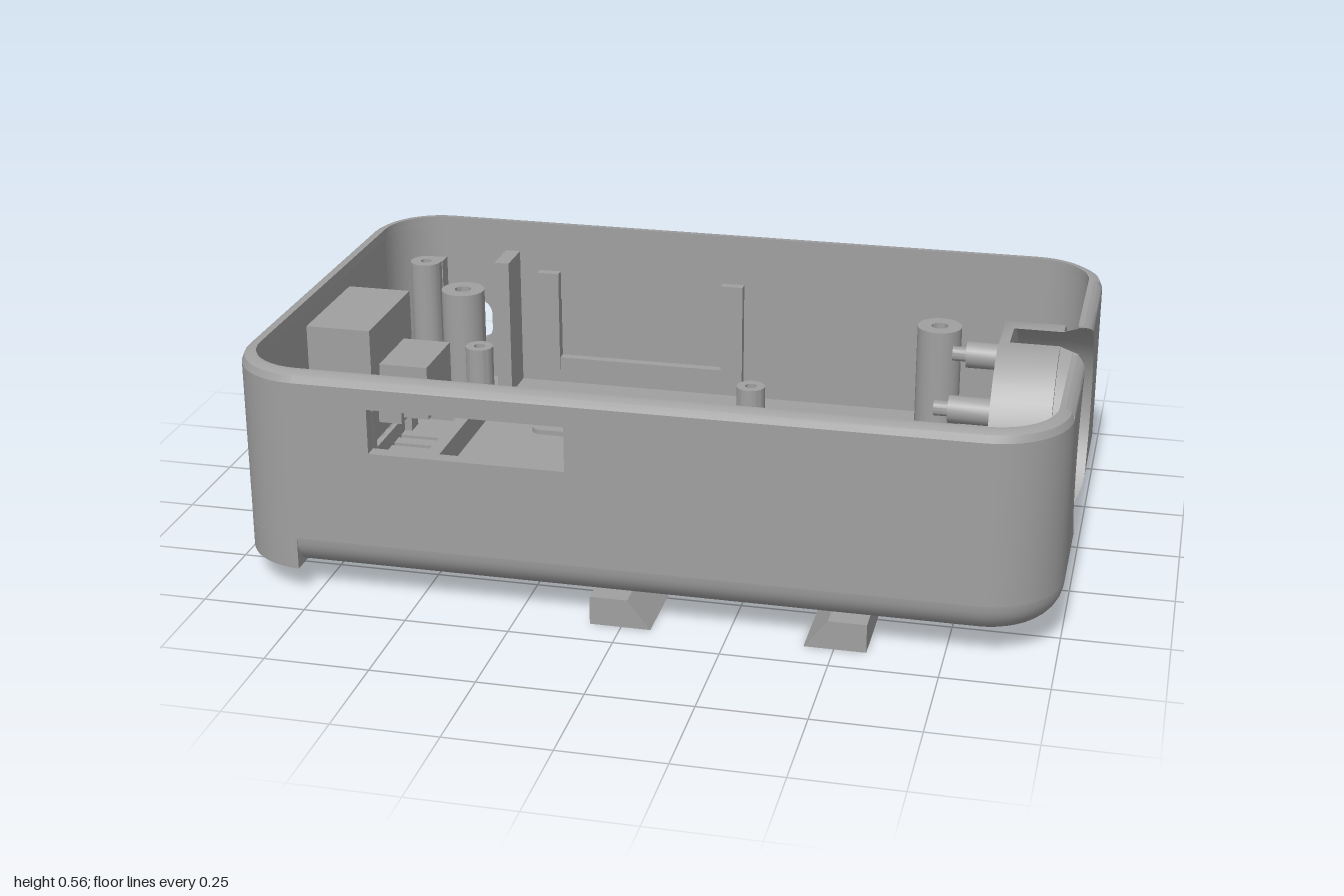
import * as THREE from 'three';
import { toCreasedNormals } from 'three/addons/utils/BufferGeometryUtils.js';

const R = 0.18, CY = 0.325, CZ = 0.05, TOP = 0.565, BASE = 0.065, FLOOR = 0.105, WALL = 0.035;

export function createModel() {
  const model = new THREE.Group();
  const grey = new THREE.MeshStandardMaterial({ color: 0xa0a0a0, side: THREE.DoubleSide });
  grey.name = 'grey plastic';

  const add = (name, geo, x = 0, y = 0, z = 0) => {
    const mesh = new THREE.Mesh(toCreasedNormals(geo, 0.6), grey);
    mesh.name = name;
    mesh.position.set(x, y, z);
    model.add(mesh);
    return mesh;
  };
  // box given by its limits
  const box = (name, x0, x1, y0, y1, z0, z1) =>
    add(name, new THREE.BoxGeometry(x1 - x0, y1 - y0, z1 - z0), (x0 + x1) / 2, (y0 + y1) / 2, (z0 + z1) / 2);
  // extrusions along z, along y (shape v = -z) and along x (shape u = -z)
  const exZ = (s, d) => new THREE.ExtrudeGeometry(s, { depth: d, bevelEnabled: false, curveSegments: 20 });
  const exY = (s, d) => exZ(s, d).rotateX(-Math.PI / 2);
  const exX = (s, d) => exZ(s, d).rotateY(Math.PI / 2);
  // rounded rectangle outline
  const rect = (x0, x1, y0, y1, r = 0, Type = THREE.Shape) => {
    const s = new Type();
    if (!r) return s.setFromPoints([[x0, y0], [x1, y0], [x1, y1], [x0, y1], [x0, y0]].map(p => new THREE.Vector2(...p)));
    s.absarc(x1 - r, y0 + r, r, -Math.PI / 2, 0);
    s.absarc(x1 - r, y1 - r, r, 0, Math.PI / 2);
    s.absarc(x0 + r, y1 - r, r, Math.PI / 2, Math.PI);
    s.absarc(x0 + r, y0 + r, r, Math.PI, Math.PI * 1.5);
    s.closePath();
    return s;
  };
  const circle = (x, y, r, Type = THREE.Path) => new Type().absarc(x, y, r, 0, Math.PI * 2);
  const poly = pts => new THREE.Shape(pts.map(p => new THREE.Vector2(...p)));
  // surface swept over a grid
  const sheet = (nu, nv, fn) => {
    const pos = [], idx = [];
    for (let i = 0; i <= nu; i++) for (let j = 0; j <= nv; j++) {
      pos.push(...fn(i, j));
      if (i < nu && j < nv) {
        const a = i * (nv + 1) + j, b = a + nv + 1;
        idx.push(a, a + 1, b, b, a + 1, b + 1);
      }
    }
    const g = new THREE.BufferGeometry();
    g.setAttribute('position', new THREE.Float32BufferAttribute(pos, 3));
    g.setIndex(idx);
    g.computeVertexNormals();
    return g;
  };

  // outline of the case: corner arcs, open on the +x side
  const corners = [[0.82, 0.49], [-0.78, 0.49], [-0.78, -0.4], [0.82, -0.4]].map(([cx, cz], k) =>
    Array.from({ length: 11 }, (_, i) => [cx, cz, (k + i / 10) * Math.PI / 2]));
  const loft = (name, path, profile) => add(name, sheet(path.length - 1, profile.length - 1, (i, j) => {
    const [cx, cz, a] = path[i], [inset, y] = profile[j];
    return [cx + (R - inset) * Math.cos(a), y, cz + (R - inset) * Math.sin(a)];
  }));
  const inset = y => y < 0.145 ? 0.08 - Math.sqrt(Math.max(0, 0.0064 - (0.145 - y) ** 2))
    : y > 0.54 ? 0.022 * ((y - 0.54) / 0.025) ** 2 : 0;
  const fillet = Array.from({ length: 9 }, (_, i) => {
    const a = i / 8 * Math.PI / 2;
    return [0.08 - 0.08 * Math.sin(a), 0.145 - 0.08 * Math.cos(a)];
  });
  const ring = corners.flat();
  loft('bottomFillet', ring, fillet);
  loft('innerFoot', ring, [[0.09, FLOOR], [WALL, FLOOR], [WALL, 0.145]]);
  loft('rim', ring, [[0, 0.54], [0.007, 0.557], [0.022, TOP], [WALL, TOP], [WALL, 0.54]]);
  for (const c of corners) {
    loft('cornerOuter', c, [[0, 0.145], [0, 0.54]]);
    loft('cornerInner', c, [[WALL, 0.54], [WALL, 0.145]]);
  }

  // floor with screw holes, vents and a cut for the socket
  const floor = rect(-0.88, 0.92, -0.59, 0.5, 0.1);
  const posts = [[-0.71, -0.4], [0.59, -0.4], [-0.71, 0.48], [0.59, 0.48]];
  for (const [x, z] of posts) floor.holes.push(circle(x, -z, 0.03));
  floor.holes.push(circle(0.25, -0.48, 0.035));
  floor.holes.push(rect(0.795, 0.919, -CZ - 0.11, -CZ + 0.11, 0, THREE.Path));
  for (let i = 0; i < 5; i++) {
    const v = 0.07 - i * 0.055;
    floor.holes.push(rect(-0.86, -0.66, v - 0.009, v + 0.009, 0, THREE.Path));
  }
  add('floor', exY(floor, FLOOR - BASE), 0, BASE);

  // straight walls with their openings
  const front = rect(-0.78, 0.82, 0.145, 0.54);
  front.holes.push(rect(-0.6, -0.13, 0.38, 0.49, 0, THREE.Path));
  add('frontWall', exZ(front, WALL), 0, 0, 0.635);
  const back = rect(-0.78, 0.82, 0.145, 0.54);
  back.holes.push(rect(-0.5, 0, 0.16, 0.35, 0, THREE.Path), rect(-0.765, -0.675, 0.21, 0.33, 0.04, THREE.Path));
  add('backWall', exZ(back, WALL), 0, 0, -0.58);
  const left = rect(-0.49, 0.4, 0.145, 0.54);
  left.holes.push(rect(-0.18, 0.08, 0.31, 0.45, 0.025, THREE.Path));
  for (const u of [-0.12, -0.05, 0.02]) left.holes.push(circle(u, 0.27, 0.016));
  add('portWall', exX(left, WALL), -0.96);

  // socket wall: strips below and above the round opening
  const zs = Array.from({ length: 61 }, (_, i) => i === 0 ? -0.4 : i === 60 ? 0.49
    : CZ - 0.257 * Math.cos((i - 1) / 58 * Math.PI));
  const half = z => Math.sqrt(Math.max(0, 0.257 ** 2 - (z - CZ) ** 2));
  const lerp = THREE.MathUtils.lerp;
  const outX = y => 1 - inset(y), inX = () => 1 - WALL;
  for (const [name, fx, y0] of [['socketWallOuter', outX, BASE], ['socketWallInner', inX, FLOOR]]) {
    add(name, sheet(60, 24, (i, j) => {
      const y = lerp(y0, Math.max(y0, CY - half(zs[i])), (j / 24) ** 1.5);
      return [fx(y), y, zs[i]];
    }));
    add(name, sheet(60, 24, (i, j) => {
      const y = lerp(Math.min(TOP, CY + half(zs[i])), TOP, 1 - (1 - j / 24) ** 2);
      return [fx(y), y, zs[i]];
    }));
  }
  box('socketRim', 0.965, 0.978, 0.56, TOP, -0.4, CZ - 0.1);
  box('socketRim', 0.965, 0.978, 0.56, TOP, CZ + 0.1, 0.49);
  for (const [z0, z1] of [[-0.4, CZ - 0.11], [CZ + 0.11, 0.49]]) box('floorEdge', 0.9, 0.965, 0.1, FLOOR, z0, z1);

  // round socket, cut level with the rim
  const cut = r => Math.acos((TOP - CY) / r);
  const arc = (s, r, back) => {
    const a = Math.PI / 2 + cut(r), b = Math.PI * 2.5 - cut(r);
    return back ? s.absarc(-CZ, CY, r, b, a, true) : s.absarc(-CZ, CY, r, a, b);
  };
  const cup = arc(arc(new THREE.Shape(), 0.26), 0.245, true);
  cup.closePath();
  add('socketTube', exX(cup, 0.145), 0.79);
  const disc = arc(new THREE.Shape(), 0.258);
  disc.closePath();
  disc.holes.push(circle(-CZ, CY, 0.09));
  add('socketBack', exX(disc, 0.025), 0.79);
  add('socketFlare', sheet(72, 1, (i, j) => {
    const r = j ? 0.245 : 0.257, a = Math.PI / 2 + cut(r) + i / 72 * (Math.PI * 2 - 2 * cut(r));
    const y = CY + r * Math.sin(a);
    return [j ? 0.932 : outX(y), y, CZ + r * Math.cos(a)];
  }));
  for (const y of [CY - 0.11, CY + 0.11]) for (const z of [-0.14, 0.23]) {
    add('socketPin', new THREE.CylinderGeometry(0.033, 0.033, 0.1, 20).rotateZ(Math.PI / 2), 0.74, y, z);
    add('socketPinTip', new THREE.CylinderGeometry(0.018, 0.018, 0.04, 16).rotateZ(Math.PI / 2), 0.675, y, z);
  }

  // hollow screw posts
  const post = (name, x, z, r, hole, top) => {
    const s = circle(0, 0, r, THREE.Shape);
    s.holes.push(circle(0, 0, hole));
    add(name, exY(s, top - 0.1), x, 0.1, z);
  };
  for (const [x, z] of posts) post('screwPost', x, z, 0.058, 0.022, 0.41);
  post('shortPost', 0.13, -0.195, 0.037, 0.015, 0.28);
  post('shortPost', -0.635, -0.295, 0.037, 0.015, 0.29);
  post('switchPost', -0.84, -0.48, 0.042, 0.015, 0.455);
  const nut = circle(0, 0, 0.088, THREE.Shape);
  nut.holes.push(new THREE.Path(Array.from({ length: 6 }, (_, i) =>
    new THREE.Vector2(0.062 * Math.cos(i * Math.PI / 3), 0.062 * Math.sin(i * Math.PI / 3)))));
  add('nutBoss', exY(nut, 0.115), 0.25, 0.1, 0.48);

  // floor ribs, pads and clips
  box('floorRib', 0.103, 0.117, 0.1, 0.14, -0.32, 0.4);
  box('floorRib', -0.615, -0.6, 0.1, 0.14, -0.23, 0.4);
  for (const x of [0.24, 0.385]) box('stopBlock', x, x + 0.05, 0.1, 0.15, 0.04, 0.25);
  for (const z of [-0.215, 0.31]) add('floorPad', exY(rect(-0.46, -0.04, -0.053, 0.053, 0.03), 0.018), 0, 0.1, z);
  box('clipPlate', 0.335, 0.36, 0.1, 0.3, 0.39, 0.52);
  box('clipPlate', 0.405, 0.43, 0.1, 0.3, 0.39, 0.52);
  box('clipBridge', 0.36, 0.405, 0.1, 0.25, 0.39, 0.5);
  const frame = rect(-0.92, -0.6, -0.31, 0.23, 0.02);
  frame.holes.push(rect(-0.9, -0.635, -0.28, 0.2, 0.03, THREE.Path));
  add('portFrame', exY(frame, 0.07), 0, 0.1);

  // connector housing and switch bracket
  box('connectorHousing', -0.926, -0.76, 0.2, 0.5, -0.11, 0.2);
  box('connectorNose', -0.76, -0.635, 0.25, 0.39, -0.05, 0.14);
  box('connectorStep', -0.76, -0.7, 0.24, 0.33, -0.07, 0.16);
  box('connectorFoot', -0.85, -0.77, 0.1, 0.3, 0.2, 0.36);
  box('connectorArm', -0.9, -0.77, 0.1, 0.34, -0.16, -0.11);
  box('switchClip', -0.63, -0.59, 0.1, 0.48, -0.55, -0.435);
  box('switchClip', -0.86, -0.8, 0.1, 0.45, -0.55, -0.5);

  // rear pocket and its inner frame
  const pocket = (x0, x1, v, r) => {
    const s = new THREE.Shape();
    s.moveTo(x0, 0.56);
    s.lineTo(x1, 0.56);
    s.absarc(x1 - r, v - r, r, 0, Math.PI / 2);
    s.absarc(x0 + r, v - r, r, Math.PI / 2, Math.PI);
    s.closePath();
    return s;
  };
  const shell = pocket(-0.54, 0.04, 0.67, 0.085);
  const capBottom = exY(shell, 0.025), capTop = exY(shell, 0.025);
  add('rearPocketBottom', capBottom, 0, 0.12);
  add('rearPocketTop', capTop, 0, 0.343);
  shell.holes.push(pocket(-0.5, 0, 0.645, 0.06));
  add('rearPocketWall', exY(shell, 0.2), 0, 0.144);
  for (const x of [-0.535, -0.02]) box('pocketHook', x, x + 0.06, 0.15, 0.43, -0.55, -0.52);
  box('pocketSill', -0.535, 0.04, 0.15, 0.185, -0.55, -0.525);

  // square foot under the port end
  const foot = new THREE.Shape();
  foot.moveTo(-0.79, -0.67);
  foot.lineTo(-0.79, 0.58);
  foot.absarc(-0.78, 0.4, R, Math.PI / 2 + 0.06, Math.PI);
  foot.absarc(-0.78, -0.49, R, Math.PI, Math.PI * 1.5 - 0.06);
  foot.closePath();
  foot.holes.push(rect(-0.885, -0.8, -0.45, 0.36, 0, THREE.Path));
  add('endFoot', exY(foot, 0.08), 0, BASE);

  // bevelled ledge below the port
  const ledge = exZ(poly([[-0.95, 0.262], [-0.96, 0.262], [-1, 0.235], [-1, 0.145], [-0.92, BASE], [-0.9, BASE], [-0.95, 0.12]]), 0.64);
  const lp = ledge.attributes.position;
  for (let i = 0; i < lp.count; i++) {
    const z = lp.getZ(i) - 0.28;
    lp.setZ(i, lp.getX(i) < -0.99 ? 0.04 + (z - 0.04) * 0.88 : z);
  }
  ledge.computeVertexNormals();
  add('portLedge', ledge);

  // dovetail mount underneath: two rails and a rounded closed end
  add('mountRail', exZ(poly([[-0.075, 0], [0.07, 0], [0.015, 0.07], [-0.075, 0.07]]), 0.72), 0, 0, -0.05);
  add('mountRail', exZ(poly([[0.43, 0], [0.575, 0], [0.575, 0.07], [0.485, 0.07]]), 0.72), 0, 0, -0.05);
  const end = new THREE.Shape();
  end.moveTo(-0.075, 0.05);
  end.lineTo(0.575, 0.05);
  end.absarc(0.475, 0.05, 0.1, 0, Math.PI / 2);
  end.absarc(0.025, 0.05, 0.1, Math.PI / 2, Math.PI);
  end.closePath();
  add('mountEnd', exY(end, 0.07));
  return model;
}
